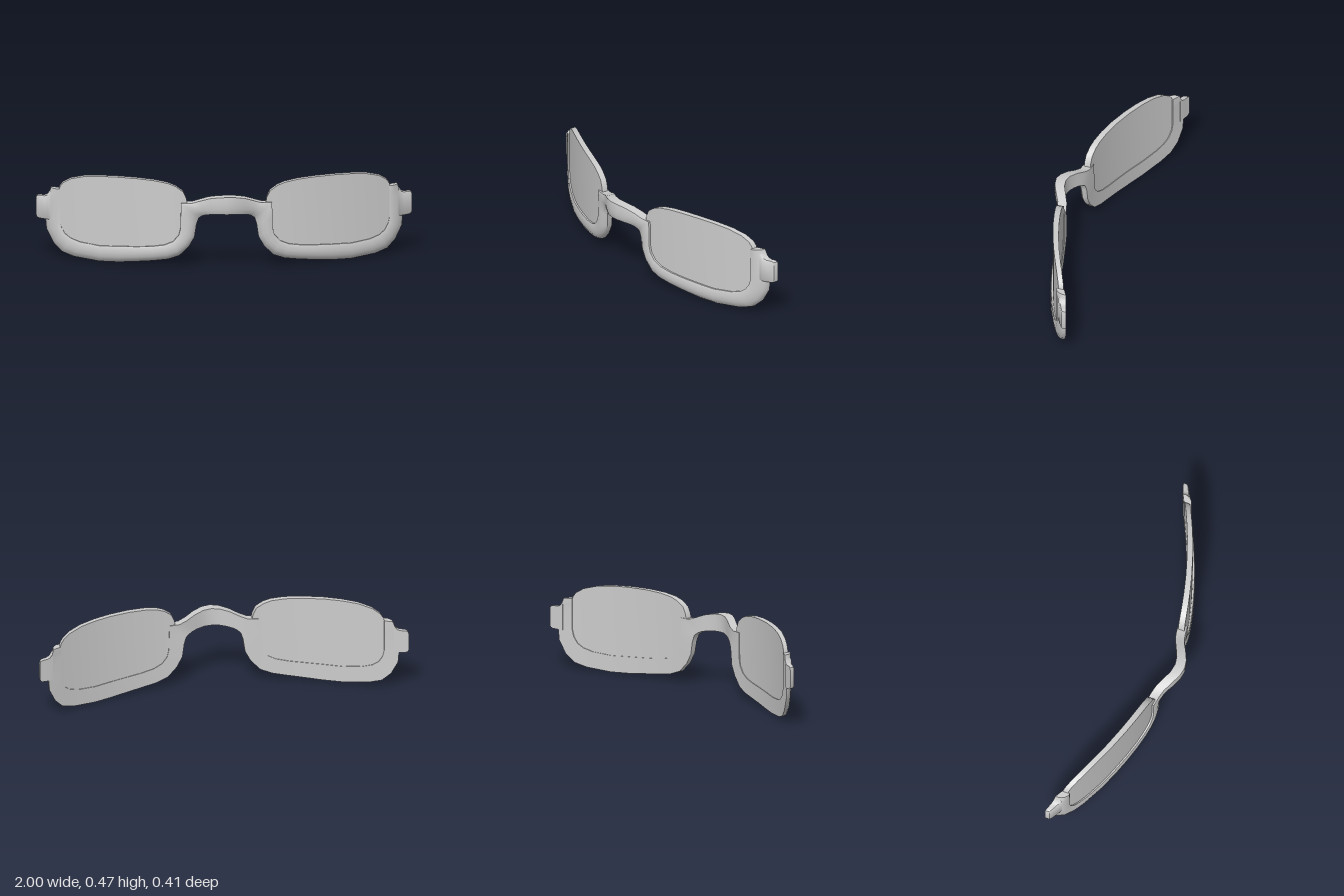
import * as THREE from 'three';
import { toCreasedNormals } from 'three/addons/utils/BufferGeometryUtils.js';

// Front surface of the wrapped frame: an arched nose bridge, then a sweep back.
function frontZ(x) {
  const a = Math.abs(x);
  if (a < 0.2) return 0.13 + 0.035 * (1 + Math.cos(Math.PI * a / 0.2));
  const d = a - 0.2;
  return 0.13 - 0.16 * d - 0.28 * d * d;
}

// Thickness along z, thinning towards the hinge tips.
function thickness(x) {
  const a = Math.abs(x);
  return a < 0.93 ? 0.057 - 0.012 * a : THREE.MathUtils.mapLinear(a, 0.93, 1, 0.046, 0.028);
}

// Stations are [outer x, outer y, inner x, inner y], running towards -x along the lower side.
// Section points are [0 outer .. 1 inner, depth 0 front .. -1 back].
function loft(stations, section, rounding = () => 1) {
  const rings = stations.map(([ox, oy, ix, iy]) => section.map(([t, d]) => {
    const x = ox + (ix - ox) * t, y = oy + (iy - oy) * t;
    const depth = d === -1 ? d : d * rounding(x);
    return [x, y, frontZ(x) + depth * thickness(x)];
  }));
  const pos = [];
  const tri = (a, b, c) => pos.push(...a, ...b, ...c);
  const n = section.length;
  for (let k = 0; k + 1 < rings.length; k++) {
    const p = rings[k], q = rings[k + 1];
    for (let j = 0; j < n; j++) {
      const m = (j + 1) % n;
      tri(p[j], p[m], q[m]);
      tri(p[j], q[m], q[j]);
    }
  }
  const first = rings[0], last = rings[rings.length - 1];
  for (let j = 1; j + 1 < n; j++) {
    tri(first[0], first[j + 1], first[j]);
    tri(last[0], last[j], last[j + 1]);
  }
  const geo = new THREE.BufferGeometry();
  geo.setAttribute('position', new THREE.Float32BufferAttribute(pos, 3));
  return toCreasedNormals(geo, 0.7);
}

const mirror = (list) => list.map(([ox, oy, ix, iy]) => [-ox, oy, -ix, iy]);

export function createModel() {
  const group = new THREE.Group();
  const grey = new THREE.MeshStandardMaterial({ color: 0xcccccc });
  grey.name = 'light grey';
  const add = (name, geo) => {
    const mesh = new THREE.Mesh(geo, grey);
    mesh.name = name;
    group.add(mesh);
  };

  // Frame: hinge post, lower rim, nose side, then half the bridge
  const half = [
    [0.92, 0.38, 0.877, 0.38], [0.93, 0.35, 0.877, 0.35], [0.945, 0.33, 0.877, 0.32],
    [0.95, 0.21, 0.877, 0.21], [0.945, 0.15, 0.87, 0.175], [0.91, 0.08, 0.85, 0.14],
    [0.865, 0.035, 0.82, 0.118], [0.8, 0.015, 0.77, 0.102], [0.67, 0.003, 0.67, 0.092],
    [0.57, 0.007, 0.57, 0.097], [0.48, 0.016, 0.48, 0.102], [0.39, 0.026, 0.4, 0.108],
    [0.31, 0.038, 0.33, 0.12], [0.25, 0.06, 0.285, 0.14], [0.2, 0.11, 0.255, 0.175],
    [0.17, 0.165, 0.246, 0.21], [0.16, 0.235, 0.244, 0.27],
    [0.148, 0.272, 0.242, 0.352], [0.13, 0.286, 0.185, 0.353], [0.11, 0.295, 0.145, 0.367],
    [0.08, 0.301, 0.095, 0.387], [0.04, 0.305, 0.045, 0.398],
  ];
  const frameSection = [
    [0, -1], [0, -0.55], [0.12, -0.28], [0.35, -0.07],
    [0.6, 0], [0.9, -0.04], [1, -0.1], [1, -1],
  ];
  const path = [...half, [0, 0.305, 0, 0.401], ...mirror(half).reverse()];
  const bridgeRounding = (x) => 0.3 + 0.7 * THREE.MathUtils.smoothstep(Math.abs(x), 0.08, 0.2);
  add('frame', loft(path, frameSection, bridgeRounding));

  // Lenses: thin curved panels set just behind the rim, as [x, bottom, top] columns
  const lens = [
    [0.208, 0.3, 0.345], [0.213, 0.25, 0.375], [0.23, 0.19, 0.412], [0.27, 0.125, 0.44],
    [0.31, 0.1, 0.455], [0.38, 0.088, 0.467], [0.47, 0.08, 0.473], [0.58, 0.075, 0.474],
    [0.67, 0.07, 0.47], [0.75, 0.075, 0.461], [0.82, 0.1, 0.441], [0.86, 0.13, 0.415],
    [0.875, 0.17, 0.393], [0.882, 0.22, 0.37],
  ].map(([x, lo, hi]) => [x, lo, x, hi]);
  const lensSection = [[0, -0.92], [0, -0.28], [1, -0.28], [1, -0.92]];
  add('leftLens', loft([...lens].reverse(), lensSection));
  add('rightLens', loft(mirror(lens), lensSection));

  // Hinge tabs at the outer ends
  const tab = [
    [0.925, 0.206, 0.925, 0.36], [0.94, 0.206, 0.94, 0.338], [0.955, 0.206, 0.955, 0.332],
    [0.985, 0.208, 0.985, 0.332], [0.996, 0.214, 0.996, 0.327], [1, 0.225, 1, 0.315],
  ];
  const tabSection = [[0, -1], [0, -0.2], [0.06, -0.05], [0.94, -0.05], [1, -0.2], [1, -1]];
  add('leftHingeTab', loft([...tab].reverse(), tabSection));
  add('rightHingeTab', loft(mirror(tab), tabSection));

  return group;
}
